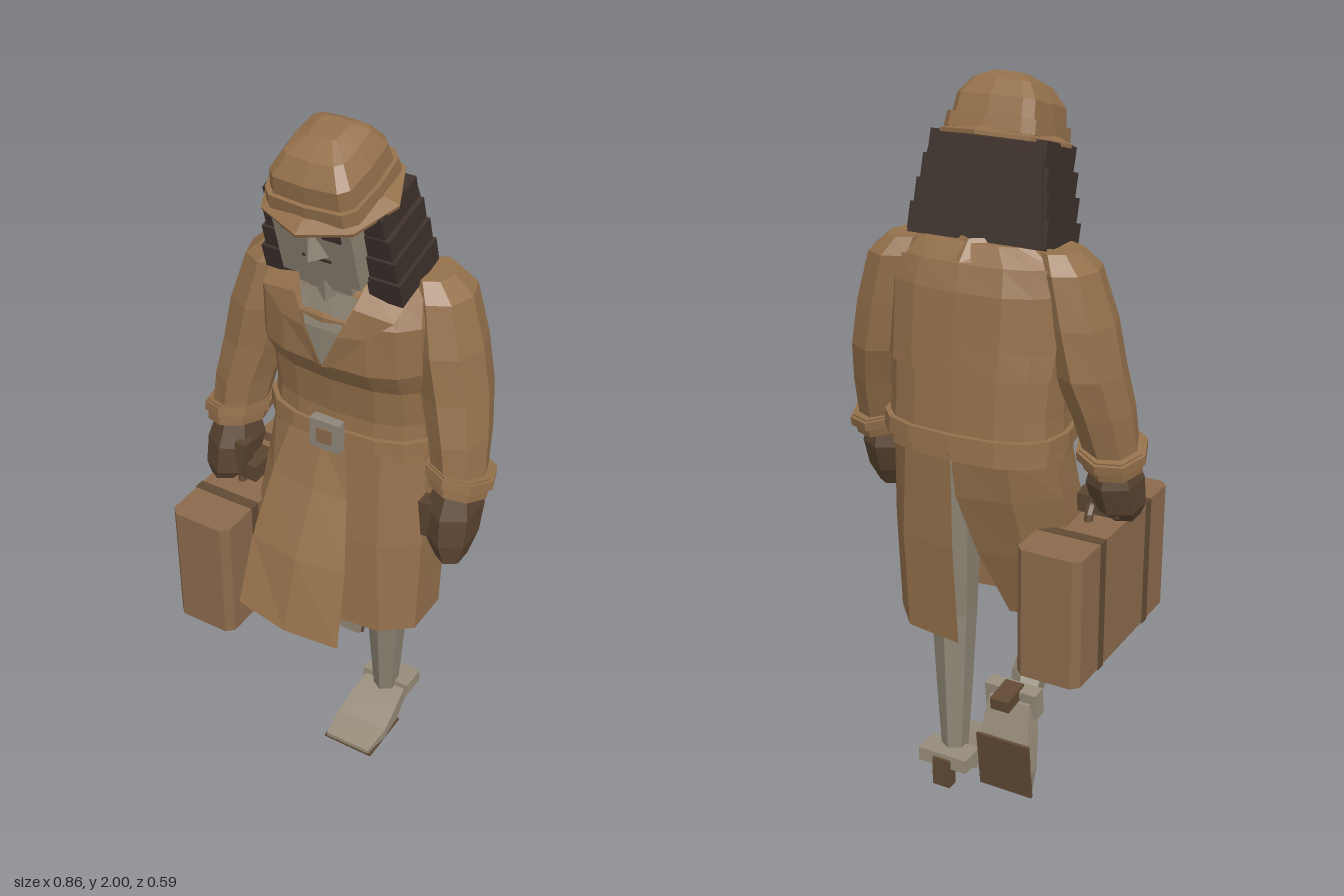
import * as THREE from 'three';

const mat = (name, color, side = THREE.FrontSide) => {
  const m = new THREE.MeshStandardMaterial({ color, flatShading: true, side });
  m.name = name;
  return m;
};

// Rounded-square or elliptical loop, running front -> +x -> back; slopes tilt it
function ring(x, y, z, rx, rz, { n = 12, p = 1, slopeX = 0, slopeZ = 0 } = {}) {
  return Array.from({ length: n }, (_, i) => {
    const a = (i / n) * Math.PI * 2;
    const bend = v => (Math.abs(v) < 1e-6 ? 0 : Math.sign(v) * Math.abs(v) ** p);
    const dx = rx * bend(Math.sin(a)), dz = rz * bend(Math.cos(a));
    return [x + dx, y + dx * slopeX + dz * slopeZ, z + dz];
  });
}

// Skin over rows of points listed from top to bottom
function loft(rows, closed = true) {
  const pos = [], n = rows[0].length;
  const tri = (...pts) => pts.forEach(p => pos.push(...p));
  for (let i = 0; i < rows.length - 1; i++) {
    for (let j = 0; j < (closed ? n : n - 1); j++) {
      const k = (j + 1) % n, [u, d] = [rows[i], rows[i + 1]];
      tri(u[j], d[j], d[k]);
      tri(u[j], d[k], u[k]);
    }
  }
  if (closed) {
    const mid = r => [0, 1, 2].map(c => r.reduce((s, p) => s + p[c], 0) / n);
    const top = rows[0], bottom = rows[rows.length - 1];
    for (let j = 0; j < n; j++) {
      const k = (j + 1) % n;
      tri(mid(top), top[j], top[k]);
      tri(mid(bottom), bottom[k], bottom[j]);
    }
  }
  const g = new THREE.BufferGeometry();
  g.setAttribute('position', new THREE.Float32BufferAttribute(pos, 3));
  g.computeVertexNormals();
  return g;
}

export function createModel() {
  const model = new THREE.Group();
  const coat = mat('coatBrown', 0x94704b, THREE.DoubleSide);
  const leather = mat('caseLeather', 0x8b6a4c);
  const strapMat = mat('strapBrown', 0x614a34);
  const hairMat = mat('hairDark', 0x3d312c);
  const glove = mat('gloveBrown', 0x5a4431);
  const skin = mat('skinGrey', 0x8c8373, THREE.DoubleSide);
  const shoe = mat('shoeGrey', 0x978c7a, THREE.DoubleSide);
  const metal = mat('buckleMetal', 0x8e867a);

  const add = (name, geo, material, parent = model) => {
    const m = new THREE.Mesh(geo, material);
    m.name = name;
    parent.add(m);
    return m;
  };
  const box = (name, material, w, h, d, x, y, z, parent = model) => {
    const m = add(name, new THREE.BoxGeometry(w, h, d), material, parent);
    m.position.set(x, y, z);
    return m;
  };

  // Coat body: [y, half width, front z, back z]
  const body = [
    [1.61, 0.17, -0.02, -0.165], [1.565, 0.235, 0.055, -0.2], [1.5, 0.25, 0.098, -0.222],
    [1.36, 0.25, 0.098, -0.238], [1.29, 0.245, 0.055, -0.246], [1.18, 0.242, 0.04, -0.255], [1.06, 0.25, 0.05, -0.265],
  ];
  const bodyRing = ([y, w, f, b], grow = 0) =>
    ring(0, y, (f + b) / 2, w + grow, (f - b) / 2 + grow, { n: 16, p: 0.75 });
  add('coatBody', loft(body.map(r => bodyRing(r))), coat);
  add('backYoke', loft(body.slice(1, 5).map(r => bodyRing(r, 0.008).slice(5, 12)), false), coat);
  add('belt', loft([[1.135, 0.25, 0.045, -0.262], [1.09, 0.25, 0.05, -0.266]].map(r => bodyRing(r, 0.01))), coat);
  box('buckle', metal, 0.09, 0.09, 0.03, -0.007, 1.125, 0.068);
  box('buckleCentre', leather, 0.045, 0.045, 0.008, -0.007, 1.125, 0.084);

  // Skirt: left panel hangs, right panel swings forward over the raised knee
  const at = (y, pts) => pts.map(([x, z, dy = 0]) => [x, y + dy, z]);
  add('leftSkirt', loft([
    at(1.09, [[-0.01, 0.05], [0.14, 0.04], [0.235, -0.04], [0.24, -0.15], [0.15, -0.24], [0, -0.265]]),
    at(0.8, [[0.01, 0.08], [0.15, 0.07], [0.25, 0], [0.255, -0.13], [0.17, -0.23], [0, -0.26]]),
    at(0.51, [[0.035, 0.1], [0.17, 0.085], [0.25, 0.02], [0.25, -0.12], [0.17, -0.21], [0, -0.235]]),
  ], false), coat);
  add('rightSkirt', loft([
    at(1.09, [[0, -0.265], [-0.15, -0.24], [-0.24, -0.15], [-0.235, -0.04], [-0.14, 0.04], [-0.03, 0.055], [0.04, 0.055]]),
    at(0.95, [[0, -0.24], [-0.15, -0.21], [-0.25, -0.12], [-0.24, 0], [-0.17, 0.09], [-0.03, 0.11], [0.07, 0.095]]),
    at(0.77, [[-0.03, -0.18], [-0.16, -0.15], [-0.25, -0.07], [-0.245, 0.06], [-0.19, 0.17], [-0.03, 0.2], [0.115, 0.18]]),
    at(0.56, [[-0.08, -0.09], [-0.17, -0.07], [-0.245, 0], [-0.24, 0.13], [-0.188, 0.25, 0.02], [-0.03, 0.265], [0.135, 0.25]]),
  ], false), coat);

  // Neck, open chest, lapels and collar
  add('neck', loft([ring(0, 1.7, 0.02, 0.075, 0.07, { n: 8 }), ring(0, 1.47, -0.01, 0.09, 0.09, { n: 8 })]), skin);
  add('chest', loft([
    [[-0.085, 1.565, 0.068], [0, 1.565, 0.074], [0.085, 1.565, 0.068]],
    [[-0.05, 1.47, 0.102], [0, 1.47, 0.103], [0.05, 1.47, 0.102]],
    [[0, 1.36, 0.103], [0, 1.36, 0.103], [0, 1.36, 0.103]],
  ], false), skin);
  for (const s of [1, -1]) {
    add('lapel', loft([
      [[s * 0.09, 1.595, 0.03], [s * 0.2, 1.575, 0.01]],
      [[s * 0.085, 1.545, 0.09], [s * 0.19, 1.53, 0.075]],
      [[s * 0.05, 1.465, 0.109], [s * 0.12, 1.47, 0.095]],
      [[0, 1.36, 0.107], [s * 0.02, 1.36, 0.1]],
    ], false), coat);
    add('collar', loft([
      [[s * 0.09, 1.605, 0.03], [s * 0.12, 1.62, -0.08], [0, 1.62, -0.16]],
      [[s * 0.18, 1.575, 0.03], [s * 0.2, 1.58, -0.09], [0, 1.57, -0.21]],
    ], false), coat);
  }

  // Sleeves, cuffs and gloved hands; the right arm reaches further forward
  for (const s of [1, -1]) {
    const side = s > 0 ? 'left' : 'right', dz = s > 0 ? -0.02 : 0.02;
    const limb = (rows, opt) => loft(rows.map(([x, y, z, rx, rz]) => ring(s * x, y, z + dz, rx, rz, opt)));
    add(side + 'Sleeve', limb([
      [0.205, 1.6, -0.085, 0.055, 0.07], [0.232, 1.555, -0.085, 0.08, 0.1], [0.262, 1.42, -0.075, 0.093, 0.115],
      [0.29, 1.29, -0.07, 0.09, 0.115], [0.317, 1.18, -0.045, 0.08, 0.105], [0.335, 1.05, -0.02, 0.072, 0.085],
    ], { n: 8 }), coat);
    const tilt = { n: 8, slopeX: -s * 0.15, slopeZ: 0.2 };
    add(side + 'Cuff', limb([[0.335, 1.085, -0.028, 0.086, 0.1], [0.337, 1.025, -0.015, 0.08, 0.093]], tilt), coat);
    add(side + 'CuffBand', limb([[0.335, 1.08, -0.028, 0.094, 0.108], [0.335, 1.055, -0.023, 0.094, 0.108]], tilt), coat);
    add(side + 'Hand', limb([
      [0.335, 1.05, -0.01, 0.05, 0.06], [0.335, 0.97, 0, 0.07, 0.088],
      [0.34, 0.89, 0.02, 0.064, 0.078], [0.35, s > 0 ? 0.83 : 0.855, 0.035, 0.038, 0.05],
    ], { n: 6, p: 0.8 }), glove);
    box(side + 'Thumb', glove, 0.035, 0.11, 0.045, s * 0.283, 0.94, 0.045 + dz).rotation.z = s * 0.1;
  }
  box('grippingFingers', glove, 0.13, 0.05, 0.1, -0.3, 0.9, 0.03);

  // Suitcase with chamfered corners, straps and handle
  const outline = [[0.072, 0.2825], [0.0925, 0.262], [0.0925, -0.262], [0.072, -0.2825],
    [-0.072, -0.2825], [-0.0925, -0.262], [-0.0925, 0.262], [-0.072, 0.2825]];
  add('suitcase', loft([0.86, 0.49].map(y => at(y, outline.map(([x, z]) => [x - 0.282, z + 0.012])))), leather);
  for (const z of [0.155, -0.13]) box('caseStrap', strapMat, 0.19, 0.375, 0.03, -0.282, 0.675, z);
  const handle = add('caseHandle', new THREE.TorusGeometry(0.055, 0.012, 6, 8, Math.PI), strapMat);
  handle.position.set(-0.285, 0.855, 0.02);
  handle.rotation.y = Math.PI / 2;

  // Legs
  const leg = (name, rows) => add(name, loft(rows.map(r => ring(...r, { n: 6 }))), skin);
  leg('leftLeg', [[0.1, 1, -0.09, 0.09, 0.09], [0.1, 0.52, -0.085, 0.065, 0.062],
    [0.09, 0.3, -0.105, 0.052, 0.052], [0.08, 0.08, -0.125, 0.037, 0.04]]);
  leg('rightThigh', [[-0.11, 1, -0.07, 0.09, 0.09], [-0.14, 0.75, 0.09, 0.075, 0.08],
    [-0.15, 0.6, 0.14, 0.06, 0.065], [-0.15, 0.55, 0.12, 0.05, 0.05]]);
  leg('rightShin', [[-0.15, 0.62, 0.14, 0.06, 0.06], [-0.15, 0.5, 0.05, 0.062, 0.09],
    [-0.155, 0.41, -0.09, 0.052, 0.075], [-0.16, 0.3, -0.19, 0.038, 0.035]]);

  // Heeled shoes, placed at the ankle
  const slice = (z, w, lo, hi) => [[-w, hi, z], [w, hi, z], [w, lo, z], [-w, lo, z]];
  const foot = (name, x, y, z, turn) => {
    const g = new THREE.Group();
    g.name = name;
    add('shoeUpper', loft([slice(0.205, 0.072, -0.076, -0.062), slice(0.12, 0.082, -0.076, -0.045),
      slice(0.03, 0.074, -0.072, -0.012), slice(-0.07, 0.06, -0.03, 0.018)]), shoe, g);
    box('sole', strapMat, 0.16, 0.008, 0.175, 0, -0.078, 0.1175, g);
    box('ankleStrap', shoe, 0.155, 0.042, 0.08, 0, 0, -0.06, g);
    box('heel', strapMat, 0.055, 0.09, 0.035, 0, -0.037, -0.09, g);
    g.position.set(x, y, z);
    g.rotation.x = turn;
    model.add(g);
  };
  foot('leftFoot', 0.08, 0.082, -0.1, 0);
  foot('rightFoot', -0.16, 0.315, -0.203, 1.45);

  // Head, leaning forward
  const head = new THREE.Group();
  head.name = 'head';
  head.position.set(0, 1.6, -0.03);
  head.rotation.x = 0.28;
  model.add(head);
  box('face', skin, 0.22, 0.205, 0.22, 0, 0.147, 0.01, head);
  box('jaw', skin, 0.15, 0.05, 0.16, 0, 0.03, 0.03, head);
  add('nose', loft([
    [[-0.008, 0.212, 0.12], [0.008, 0.212, 0.12], [0, 0.212, 0.118]],
    [[0, 0.135, 0.158], [0.036, 0.13, 0.12], [-0.036, 0.13, 0.12]],
  ]), skin, head);
  box('mouth', hairMat, 0.08, 0.007, 0.006, 0, 0.117, 0.121, head);
  for (const s of [1, -1]) {
    box('eye', hairMat, 0.052, 0.024, 0.008, s * 0.056, 0.203, 0.121, head);
    // Stepped locks of hair down each side
    [[0.165, 0.206, 0.065], [0.178, 0.144, 0.068], [0.188, 0.082, 0.075], [0.198, 0.02, 0.082]].forEach(([x, y, f]) =>
      box('sideHair', hairMat, x - 0.105, 0.07, f + 0.102, s * (x + 0.105) / 2, y, (f - 0.102) / 2, head));
  }
  add('backHair', loft([[0.242, 0.12], [0.2, 0.16], [-0.022, 0.192]].map(([y, w]) =>
    at(y, [[w, -0.08], [w, -0.11], [-w, -0.11], [-w, -0.08]]))), hairMat, head);

  // Hat
  const hatRing = (y, r, z = 0) => ring(0, y, z, r, r, { n: 12, p: 0.42 });
  add('hatCrown', loft([hatRing(0.4, 0.04, -0.022), hatRing(0.378, 0.085, -0.008), hatRing(0.335, 0.117),
    hatRing(0.24, 0.128)]), coat, head);
  add('hatBand', loft([hatRing(0.287, 0.133), hatRing(0.25, 0.136)]), coat, head);
  add('hatBrim', loft([ring(0, 0.258, 0.004, 0.14, 0.14, { n: 8 }), ring(0, 0.244, 0.004, 0.18, 0.178, { n: 8 }),
    ring(0, 0.234, 0.004, 0.178, 0.176, { n: 8 })]), coat, head);
  return model;
}
